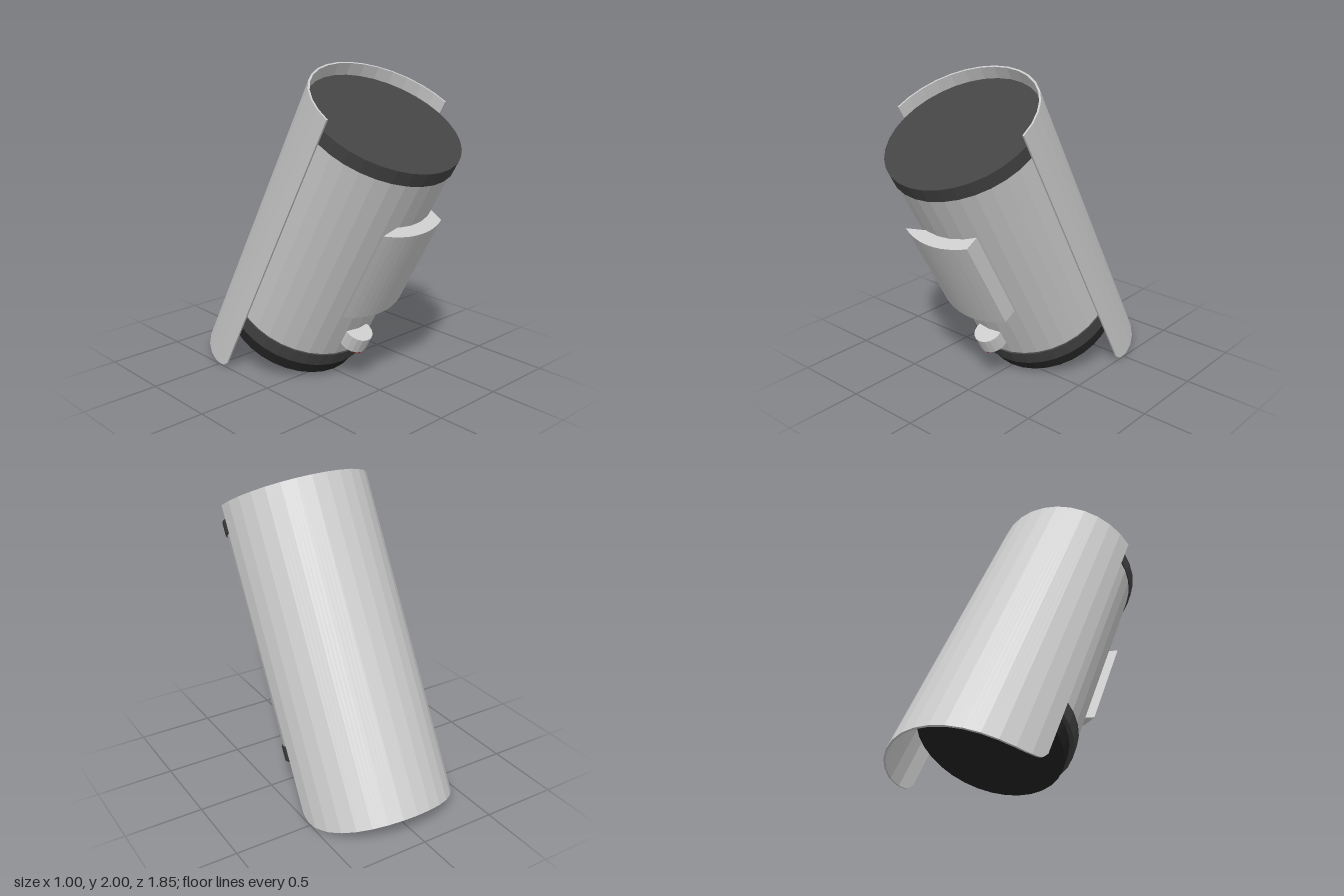
import * as THREE from 'three';

const SIDES = 32;
const material = (color) => new THREE.MeshStandardMaterial({ color, flatShading: true });

// Half-round sheet behind the body, its two lower corners rounded off
function shellGeometry(outer, inner, top, edgeBottom, drop) {
  const split = 4, steps = (SIDES / 2) * split;
  const position = [], index = [];
  for (let i = 0; i <= steps; i++) {
    // points stay on the straight facets of the 32-sided round
    const k = Math.min(Math.floor(i / split), SIDES / 2 - 1);
    const f = i / split - k;
    const a = (k * 2 * Math.PI) / SIDES, b = ((k + 1) * 2 * Math.PI) / SIDES;
    const x = THREE.MathUtils.lerp(Math.cos(a), Math.cos(b), f);
    const z = -THREE.MathUtils.lerp(Math.sin(a), Math.sin(b), f);
    const bottom = edgeBottom - drop * Math.sqrt(Math.max(0, 1 - (1 + z) ** 2));
    for (const [r, y] of [[outer, top], [outer, bottom], [inner, bottom], [inner, top]]) {
      position.push(x * r, y, z * r);
    }
  }
  for (let i = 0; i < steps; i++) {
    for (let j = 0; j < 4; j++) {
      const a = i * 4 + j, b = i * 4 + ((j + 1) % 4);
      index.push(a, a + 4, b, b, a + 4, b + 4);
    }
  }
  // end strips along the two long edges
  const e = steps * 4;
  index.push(0, 1, 2, 0, 2, 3, e, e + 2, e + 1, e, e + 3, e + 2);
  const g = new THREE.BufferGeometry();
  g.setAttribute('position', new THREE.Float32BufferAttribute(position, 3));
  g.setIndex(index);
  g.computeVertexNormals();
  return g;
}

// Curved plate with parallel sides, standing proud of the body front
function panelGeometry(radius, halfWidth, back, bottom, top) {
  const a = Math.asin(halfWidth / radius);
  const shape = new THREE.Shape();
  shape.moveTo(-halfWidth, -back);
  shape.absarc(0, 0, radius, -Math.PI / 2 - a, -Math.PI / 2 + a, false);
  shape.lineTo(halfWidth, -back);
  shape.closePath();
  const g = new THREE.ExtrudeGeometry(shape, { depth: top - bottom, bevelEnabled: false, curveSegments: 6 });
  return g.rotateX(-Math.PI / 2).translate(0, bottom, 0);
}

export function createModel() {
  const model = new THREE.Group();
  model.name = 'tiltedCanister';

  // everything is built upright around the axis, then tilted forward
  const tilt = new THREE.Group();
  tilt.name = 'tilt';
  tilt.rotation.x = THREE.MathUtils.degToRad(29);
  model.add(tilt);
  const canister = new THREE.Group();
  canister.name = 'canister';
  canister.position.z = -0.377;
  tilt.add(canister);

  const grey = material(0xcccccc), dark = material(0x444444);
  const black = material(0x222222), red = material(0xcc1111);
  const shellGrey = grey.clone();
  shellGrey.side = THREE.DoubleSide;

  const add = (name, geometry, mat) => {
    const mesh = new THREE.Mesh(geometry, mat);
    mesh.name = name;
    canister.add(mesh);
  };
  const drum = (name, r, bottom, top, mat, z = 0, sides = SIDES) =>
    add(name, new THREE.CylinderGeometry(r, r, top - bottom, sides).translate(0, (top + bottom) / 2, z), mat);

  // Body stack
  drum('base', 0.45, 0.042, 0.147, black);
  drum('lowerBand', 0.48, 0.147, 0.242, dark);
  drum('body', 0.47, 0.242, 1.632, grey);
  drum('topCap', 0.48, 1.632, 1.72, dark);

  // Rear shell
  add('rearShell', shellGeometry(0.498, 0.486, 1.8, -0.177, 0.148), shellGrey);

  // Front fittings
  add('frontPanel', panelGeometry(0.55, 0.25, 0.38, 0.665, 1.323), grey);
  drum('sensorHousing', 0.093, 0.341, 0.45, grey, 0.483, 16);
  drum('sensorLens', 0.037, 0.317, 0.341, red, 0.528, 16);

  return model;
}
